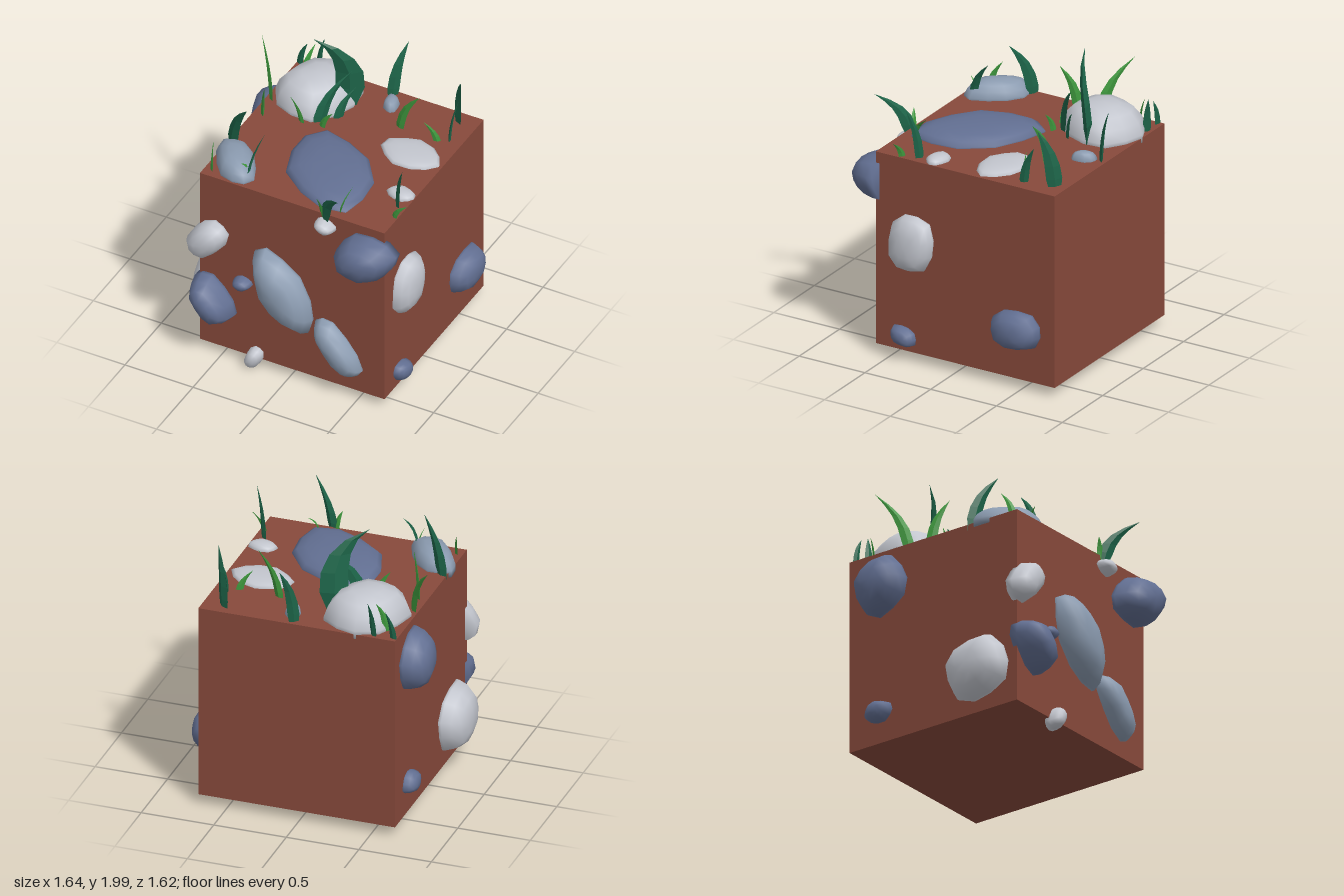
import * as THREE from 'three';

const mat = (name, color, extra = {}) => {
  const m = new THREE.MeshStandardMaterial({ color, ...extra });
  m.name = name;
  return m;
};

function meshFrom(name, material, positions, index) {
  const g = new THREE.BufferGeometry();
  g.setAttribute('position', new THREE.Float32BufferAttribute(positions, 3));
  g.setIndex(index);
  g.computeVertexNormals();
  const m = new THREE.Mesh(g, material);
  m.name = name;
  return m;
}

// Cube of earth limits
const X0 = -0.66, X1 = 0.695, Y0 = 0.08, Y1 = 1.44, Z0 = -0.755, Z1 = 0.605;

// How face position (u, v) and outward height n map to space
const FACES = {
  front: { map: (u, v, n) => [u, v, Z1 + n], mirrored: false },
  right: { map: (u, v, n) => [X1 + n, v, u], mirrored: true },
  left: { map: (u, v, n) => [X0 - n, v, u], mirrored: false },
  top: { map: (u, v, n) => [u, Y1 + n, v], mirrored: true },
};

// Domed stone: irregular tilted oval loops that shrink towards a peak
function stone(material, face, u, v, ru, rv, tilt, height) {
  const { map, mirrored } = FACES[face];
  const n = 11, seed = u * 17 + v * 29;
  const c = Math.cos(tilt), s = Math.sin(tilt);
  const rings = [[1, -0.03], [1, 0.12], [0.9, 0.5], [0.7, 0.82], [0.38, 0.97]];
  const pos = [], idx = [];
  const tri = (a, b, d) => (mirrored ? idx.push(a, d, b) : idx.push(a, b, d));
  rings.forEach(([k, h], r) => {
    for (let i = 0; i < n; i++) {
      const a = (i / n) * Math.PI * 2;
      const bump = 1.03 + 0.06 * Math.sin(i * 2.3 + seed);
      const p = Math.cos(a) * ru * k * bump, q = Math.sin(a) * rv * k * bump;
      pos.push(...map(u + p * c - q * s, v + p * s + q * c, r ? h * height : h));
    }
  });
  pos.push(...map(u, v, height), ...map(u, v, -0.03));
  const peak = rings.length * n;
  for (let i = 0; i < n; i++) {
    const j = (i + 1) % n;
    for (let a = 0; a < peak - n; a += n) {
      tri(a + i, a + j, a + n + j);
      tri(a + i, a + n + j, a + n + i);
    }
    tri(peak - n + i, peak - n + j, peak);
    tri(j, i, peak + 1);
  }
  return meshFrom(`${face}Stone`, material, pos, idx);
}

// Grass blade: tapering diamond section swept along a bending path
function blade(name, material, points, width, angle) {
  const curve = new THREE.CatmullRomCurve3(points.map((p) => new THREE.Vector3(...p)));
  const cx = Math.cos(angle), cz = Math.sin(angle);
  const widths = [0.7, 1, 0.95, 0.75, 0.45, 0.02];
  const pos = [], idx = [];
  widths.forEach((k, r) => {
    const p = curve.getPoint(r / (widths.length - 1));
    const w = (width * k) / 2, t = w * 0.3;
    pos.push(p.x + cx * w, p.y, p.z + cz * w, p.x - cz * t, p.y, p.z + cx * t,
      p.x - cx * w, p.y, p.z - cz * w, p.x + cz * t, p.y, p.z - cx * t);
    if (r) for (let i = 0; i < 4; i++) {
      const a = (r - 1) * 4 + i, b = (r - 1) * 4 + ((i + 1) % 4);
      idx.push(a, a + 4, b + 4, a, b + 4, b);
    }
  });
  return meshFrom(name, material, pos, idx);
}

export function createModel() {
  const group = new THREE.Group();
  group.name = 'earthBlock';
  const earth = mat('earth', 0x87493b);
  const pale = mat('paleStone', 0xc3c6ce);
  const grey = mat('greyStone', 0x8b9bb0);
  const slate = mat('slateStone', 0x626f92);
  const grass = { flatShading: true, side: THREE.DoubleSide };
  const dark = mat('darkGrass', 0x1d6549, grass);
  const light = mat('lightGrass', 0x3f9a3e, grass);

  const cube = new THREE.Mesh(new THREE.BoxGeometry(X1 - X0, Y1 - Y0, Z1 - Z0), earth);
  cube.position.set((X0 + X1) / 2, (Y0 + Y1) / 2, (Z0 + Z1) / 2);
  cube.name = 'earthCube';
  group.add(cube);

  // Stones: face, centre, two radii, tilt, height
  const addStones = (material, list) => list.forEach((row) => group.add(stone(material, ...row)));
  addStones(slate, [
    ['front', 0.57, 1.22, 0.215, 0.155, 0.3, 0.2],
    ['front', -0.545, 0.485, 0.19, 0.11, -0.9, 0.2],
    ['front', -0.34, 0.665, 0.065, 0.045, 0, 0.08],
    ['right', -0.467, 0.43, 0.185, 0.135, -0.1, 0.125],
    ['right', 0.39, 0.185, 0.095, 0.065, 0.3, 0.075],
    ['left', -0.48, 1.185, 0.2, 0.185, 1.2, 0.165],
    ['left', -0.51, 0.3, 0.1, 0.075, 0, 0.08],
    ['top', 0.08, 0.2, 0.41, 0.26, 0.85, 0.075],
  ]);
  addStones(grey, [
    ['front', -0.04, 0.72, 0.31, 0.16, -1, 0.165],
    ['front', 0.36, 0.39, 0.235, 0.1, -0.9, 0.12],
    ['top', -0.5, 0.41, 0.22, 0.125, 0.85, 0.11],
    ['top', 0.095, -0.61, 0.08, 0.05, 1.2, 0.06],
  ]);
  addStones(pale, [
    ['front', -0.595, 0.94, 0.17, 0.11, 0.85, 0.125],
    ['front', -0.255, 0.09, 0.085, 0.055, 1.1, 0.08],
    ['front', 0.27, 1.36, 0.072, 0.045, -0.3, 0.09],
    ['right', 0.33, 0.855, 0.205, 0.165, 1.8, 0.11],
    ['left', 0.3, 0.38, 0.235, 0.215, 0, 0.16],
    ['top', -0.37, -0.475, 0.28, 0.25, -1.1, 0.2],
    ['top', 0.45, -0.215, 0.21, 0.145, 0.15, 0.035],
    ['top', 0.595, 0.19, 0.095, 0.068, 0.1, 0.04],
  ]);

  // Largest blade, with a swinging bend
  group.add(blade('tallGrass', dark, [[-0.17, 1.42, -0.47], [-0.14, 1.62, -0.49], [-0.15, 1.78, -0.46], [-0.21, 1.91, -0.41], [-0.335, 2, -0.35]], 0.19, -0.5));

  // Other blades: foot x and z, tip x, y and z, width, facing
  const addBlades = (name, material, list) => list.forEach(([x, z, tx, ty, tz, w, angle]) => {
    const at = (k, rise) => [x + (tx - x) * k, 1.4 + (ty - 1.4) * rise, z + (tz - z) * k];
    group.add(blade(name, material, [at(0, 0), at(0.12, 0.35), at(0.45, 0.7), at(1, 1)], w, angle));
  });
  addBlades('darkBlade', dark, [
    [-0.63, 0.22, -0.475, 1.81, 0.31, 0.1, 0.4],
    [0.05, -0.71, 0.115, 1.83, -0.81, 0.08, -0.6],
    [0.26, 0.61, 0.44, 1.71, 0.77, 0.1, 0.5],
    [0.55, -0.67, 0.62, 1.83, -0.58, 0.11, 0.7],
    [0.63, 0.31, 0.7, 1.78, 0.37, 0.06, 0.7],
    [0.6, -0.46, 0.62, 1.7, -0.55, 0.06, 1.2],
    [-0.36, 0.52, -0.31, 1.72, 0.37, 0.06, 1.4],
    [-0.24, -0.24, -0.08, 1.8, -0.4, 0.1, -0.9],
    [-0.15, -0.33, -0.06, 1.66, -0.42, 0.07, -0.8],
    [-0.64, -0.72, -0.58, 1.62, -0.72, 0.05, 0.2],
    [-0.5, -0.72, -0.47, 1.68, -0.75, 0.06, 0.5],
  ]);
  addBlades('lightBlade', light, [
    [-0.62, -0.3, -0.775, 1.8, -0.46, 0.08, 0.8],
    [0.25, -0.43, 0.41, 1.75, -0.41, 0.07, 0.3],
    [0.66, 0.42, 0.765, 1.56, 0.43, 0.05, 0.5],
    [0.54, -0.42, 0.45, 1.58, -0.39, 0.05, -0.4],
    [0.24, 0.6, 0.2, 1.56, 0.62, 0.05, 0.4],
    [0.33, 0.54, 0.37, 1.58, 0.42, 0.04, 1.2],
    [-0.33, -0.18, -0.42, 1.62, -0.18, 0.05, 0.3],
    [-0.2, -0.2, -0.11, 1.58, -0.19, 0.05, 0.3],
    [-0.6, -0.14, -0.53, 1.73, -0.04, 0.07, 1],
    [-0.56, -0.63, -0.51, 1.66, -0.7, 0.05, -0.7],
    [-0.61, 0.54, -0.64, 1.6, 0.46, 0.05, 0.9],
    [-0.36, 0.45, -0.39, 1.58, 0.55, 0.04, 1.3],
  ]);
  return group;
}
